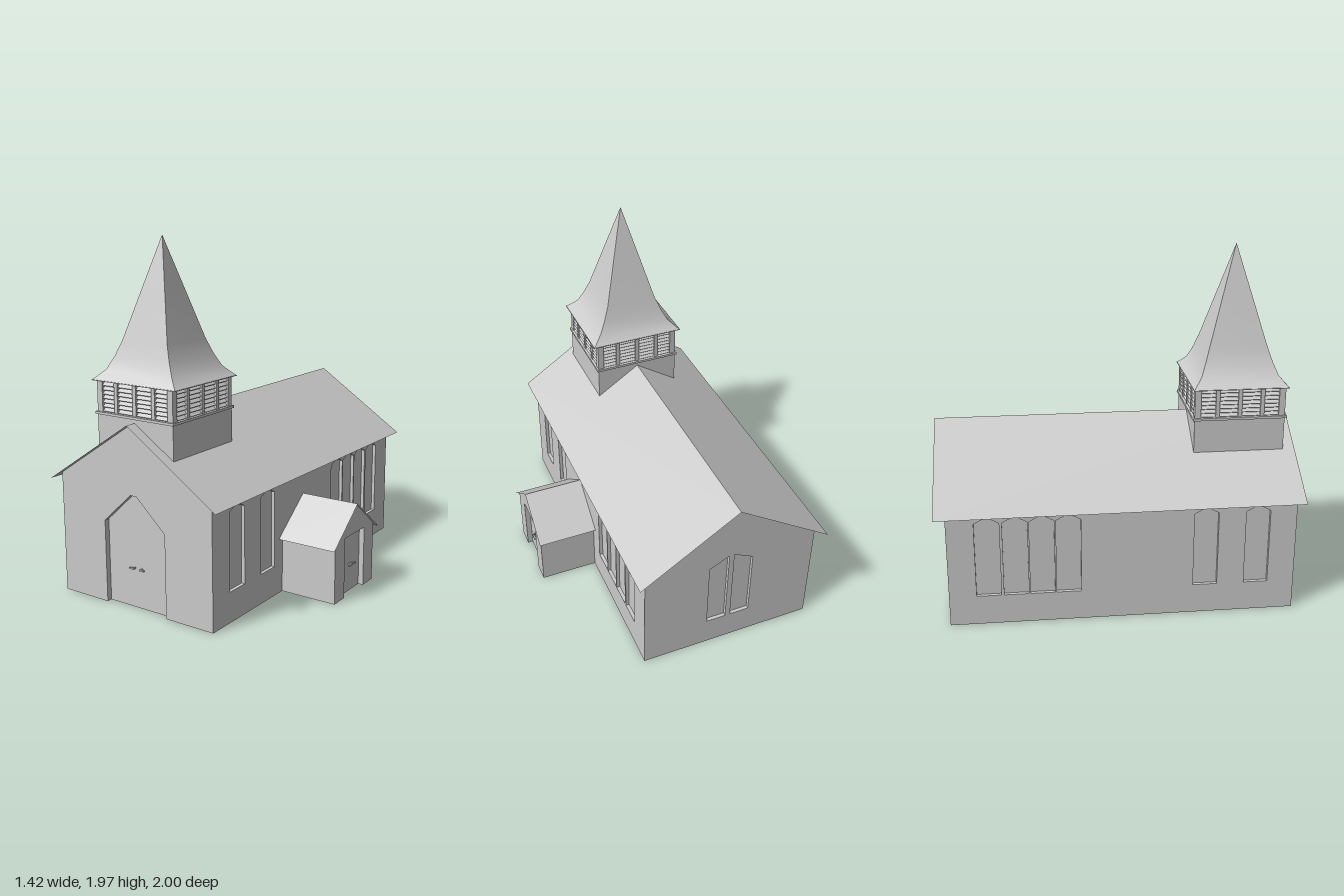
import * as THREE from 'three';

const mat = new THREE.MeshStandardMaterial({ color: 0xcccccc, side: THREE.DoubleSide });
const CX = -0.15; // x of the ridge and the tower
const toShape = (pts) => new THREE.Shape(pts.map(([x, y]) => new THREE.Vector2(x, y)));

function add(parent, geometry, name, x = 0, y = 0, z = 0) {
  const mesh = new THREE.Mesh(geometry, mat);
  mesh.name = name;
  mesh.position.set(x, y, z);
  parent.add(mesh);
  return mesh;
}

function box(parent, name, w, h, d, x, y, z) {
  return add(parent, new THREE.BoxGeometry(w, h, d), name, x, y, z);
}

// Surface between two rows of points, one smooth sheet
function sheet(rows) {
  const n = rows[0].length, index = [];
  for (let i = 0; i < rows.length - 1; i++) {
    for (let j = 0; j < n - 1; j++) {
      const a = i * n + j, b = a + n;
      index.push(a, a + 1, b, a + 1, b + 1, b);
    }
  }
  const g = new THREE.BufferGeometry();
  g.setAttribute('position', new THREE.Float32BufferAttribute(rows.flat(2), 3));
  g.setIndex(index);
  g.computeVertexNormals();
  return g;
}

// Sunken pane with its reveal, behind an opening in a wall
function recess(parent, pts, depth, name, closed) {
  const loop = closed ? [...pts, pts[0]] : pts;
  const reveal = sheet([loop.map(([x, y]) => [x, y, 0]), loop.map(([x, y]) => [x, y, -depth])]).toNonIndexed();
  reveal.computeVertexNormals();
  add(parent, reveal, name + 'Reveal');
  add(parent, new THREE.ShapeGeometry(toShape(pts)), name, 0, 0, -depth);
}

// Wall seen face on: half width, eave height, optional gable, windows and a door
function wall(parent, name, { left, right, eave, gable, windows = [], door }) {
  const g = new THREE.Group();
  g.name = name;
  const outline = [[left, 0], ...(door || []), [right, 0], [right, eave]];
  if (gable) outline.push([(left + right) / 2, gable]);
  outline.push([left, eave]);
  const shape = toShape(outline);
  for (const w of windows) {
    shape.holes.push(toShape(w));
    recess(g, w, 0.02, 'window', true);
  }
  if (door) recess(g, door, 0.03, 'door', false);
  add(g, new THREE.ShapeGeometry(shape), name + 'Face');
  parent.add(g);
  return g;
}

// Pair of lever handles on a double door
function handles(parent, y, gap) {
  for (const s of [-1, 1]) {
    box(parent, 'doorHandle', 0.03, 0.008, 0.008, s * (gap + 0.015), y, -0.012);
    box(parent, 'handleStem', 0.008, 0.008, 0.018, s * (gap + 0.004), y, -0.021);
  }
}

const lancet = (u) => [[u - 0.067, 0.17], [u - 0.067, 0.6], [u - 0.012, 0.63],
  [u + 0.012, 0.63], [u + 0.067, 0.6], [u + 0.067, 0.17]];

function gableRoof(half, eave, ridge, from, to) {
  const g = sheet([[[-half, eave, to], [0, ridge, to], [half, eave, to]],
    [[-half, eave, from], [0, ridge, from], [half, eave, from]]]).toNonIndexed();
  g.computeVertexNormals();
  return g;
}

function buildNave() {
  const nave = new THREE.Group();
  nave.name = 'nave';
  const eave = 0.683, gable = 1.02;

  const front = wall(nave, 'frontWall', {
    left: -0.51, right: 0.51, eave, gable,
    door: [[-0.205, 0], [-0.205, 0.465], [-0.02, 0.635], [0.02, 0.635], [0.205, 0.465], [0.205, 0]],
  });
  front.position.z = 0.96;
  handles(front, 0.225, 0.02);

  // Twin lights under one pointed head
  const light = (s) => [[s * 0.015, 0.17], [s * 0.015, 0.65], [s * 0.13, 0.59], [s * 0.13, 0.17]];
  const back = wall(nave, 'backWall', { left: -0.51, right: 0.51, eave, gable, windows: [light(-1), light(1)] });
  back.position.z = -0.94;
  back.rotation.y = Math.PI;

  const windowZ = [0.745, 0.46, -0.29, -0.433, -0.576, -0.725];
  for (const s of [-1, 1]) {
    const ends = [-s * 0.96, s * 0.94].sort((a, b) => a - b);
    const side = wall(nave, s > 0 ? 'leftWall' : 'rightWall', {
      left: ends[0], right: ends[1], eave, windows: windowZ.map((z) => lancet(-s * z)),
    });
    side.position.x = s * 0.51;
    side.rotation.y = s * Math.PI / 2;
  }
  add(nave, gableRoof(0.56, 0.65, 1.02, -1, 1), 'naveRoof');
  nave.position.x = CX;
  return nave;
}

function buildPorch() {
  const porch = new THREE.Group();
  porch.name = 'porch';
  const front = wall(porch, 'porchFront', {
    left: -0.217, right: 0.217, eave: 0.343, gable: 0.515,
    door: [[-0.11, 0], [-0.11, 0.345], [0.11, 0.345], [0.11, 0]],
  });
  front.position.z = 0.335;
  handles(front, 0.16, 0.006);
  for (const s of [-1, 1]) {
    const side = wall(porch, 'porchSide', { left: -0.1675, right: 0.1675, eave: 0.343 });
    side.position.set(s * 0.217, 0, 0.1675);
    side.rotation.y = s * Math.PI / 2;
  }
  add(porch, gableRoof(0.253, 0.315, 0.515, 0, 0.35), 'porchRoof');
  porch.position.set(0.36, 0, 0.095);
  porch.rotation.y = Math.PI / 2;
  return porch;
}

function buildTower() {
  const tower = new THREE.Group();
  tower.name = 'tower';
  const h = 0.253;

  // Base, cut to straddle the roof
  const base = toShape([[-h, 0.853], [0, 1.02], [h, 0.853], [h, 1.045], [-h, 1.045]]);
  add(tower, new THREE.ExtrudeGeometry(base, { depth: 2 * h, bevelEnabled: false }), 'towerBase', 0, 0, -h);
  box(tower, 'towerLedge', 0.525, 0.014, 0.525, 0, 1.047, 0);

  // Belfry: posts with sloping louvres on four sides
  for (let k = 0; k < 4; k++) {
    const side = new THREE.Group();
    side.name = 'belfrySide';
    side.rotation.y = k * Math.PI / 2;
    box(side, 'cornerPost', 0.035, 0.17, 0.035, h - 0.0175, 1.137, h - 0.0175);
    for (const x of [-0.125, 0, 0.125]) box(side, 'post', 0.022, 0.17, 0.03, x, 1.137, h - 0.015);
    for (let i = 0; i < 7; i++) {
      const slat = box(side, 'louvre', 0.45, 0.005, 0.034, 0, 1.068 + i * 0.0228, h - 0.018);
      slat.rotation.x = 0.75;
    }
    tower.add(side);
  }

  // Flared spire: height, half width, half depth
  const profile = [[1.22, 0.281, 0.265], [1.235, 0.262, 0.25], [1.277, 0.219, 0.214], [1.345, 0.183, 0.187],
    [1.425, 0.151, 0.161], [1.7, 0.075, 0.08], [1.97, 0, 0]];
  const corners = [[-1, 1], [1, 1], [1, -1], [-1, -1]];
  corners.forEach(([ax, az], k) => {
    const [bx, bz] = corners[(k + 1) % 4];
    const rows = profile.map(([y, w, d]) => [[ax * w, y, az * d], [bx * w, y, bz * d]]);
    add(tower, sheet(rows), 'spireSide');
  });
  box(tower, 'spireSoffit', 0.56, 0.004, 0.528, 0, 1.22, 0);
  tower.position.set(CX, 0, 0.68);
  return tower;
}

export function createModel() {
  const church = new THREE.Group();
  church.name = 'church';
  church.add(buildNave(), buildPorch(), buildTower());
  return church;
}
